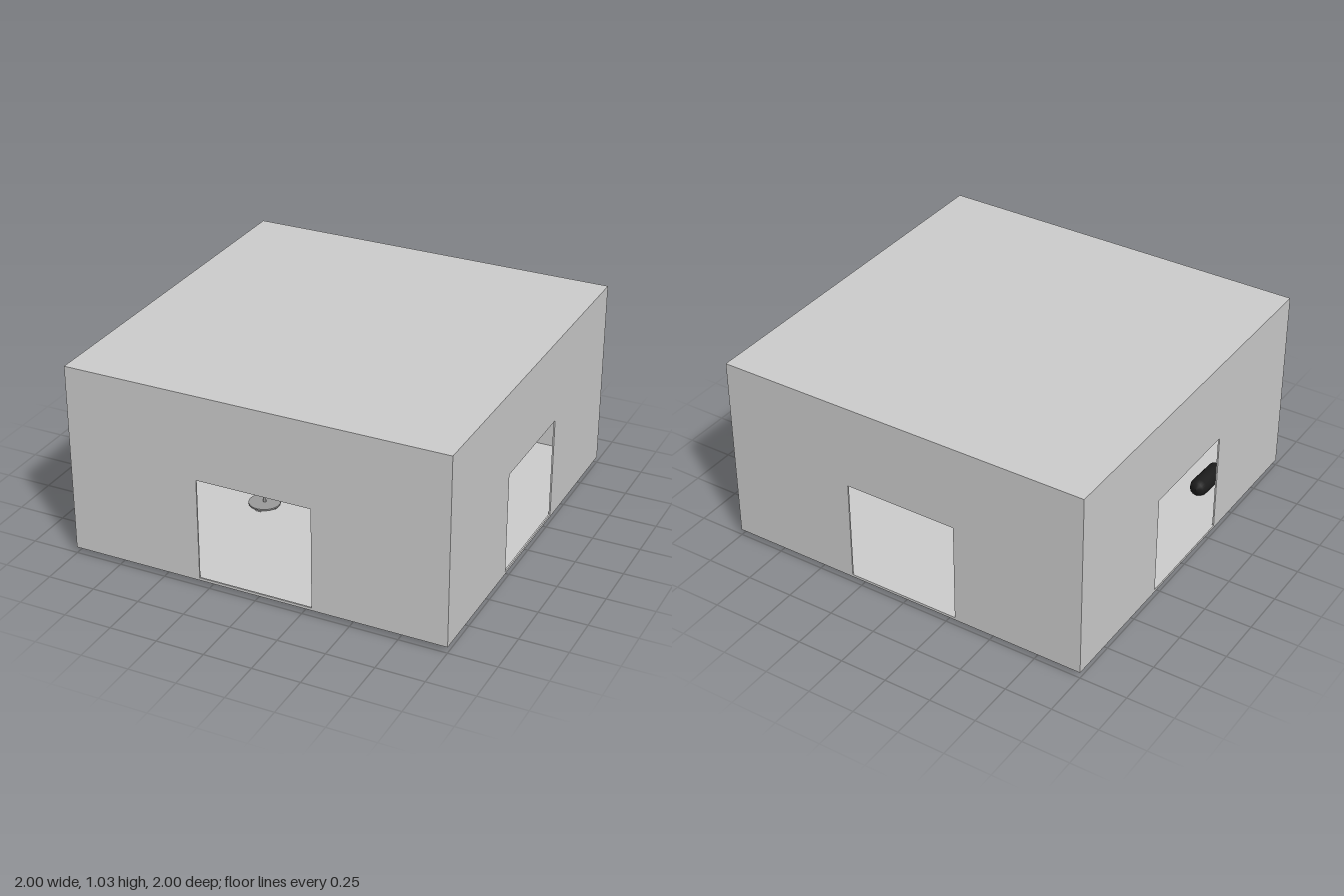
import * as THREE from 'three';

const mat = (name, color) => {
  const m = new THREE.MeshStandardMaterial({ color });
  m.name = name;
  return m;
};

export function createModel() {
  const model = new THREE.Group();
  const wallGrey = mat('wall grey', 0xcccccc);
  const panelGrey = mat('panel light grey', 0xbbbbbb);
  const sideGrey = mat('panel dark grey', 0x919191);
  const metal = mat('frame metal', 0x9a9a9a);
  const black = mat('black', 0x1c1c1c);

  const add = (name, geo, material, x, y, z, parent = model) => {
    const mesh = new THREE.Mesh(geo, material);
    mesh.name = name;
    mesh.position.set(x, y, z);
    parent.add(mesh);
    return mesh;
  };
  const box = (name, w, h, d, material, x, y, z, parent) =>
    add(name, new THREE.BoxGeometry(w, h, d), material, x, y, z, parent);

  // Room shell: floor, roof and four thin walls with doorways
  const T = 0.008, BASE = 0.032, TOP = 1.032;
  box('floor', 2, 0.01, 2, wallGrey, 0, BASE + 0.005, 0);
  box('roof', 2, T, 2, wallGrey, 0, TOP - T / 2, 0);
  const wall = (name, halfWidth, angle) => {
    const shape = new THREE.Shape([[-1, BASE + 0.01], [1, BASE + 0.01], [1, TOP - T], [-1, TOP - T]]
      .map(([x, y]) => new THREE.Vector2(x * halfWidth, y)));
    shape.holes.push(new THREE.Path([[-0.302, 0.046], [-0.302, 0.585], [0.302, 0.585], [0.302, 0.046]]
      .map(([x, y]) => new THREE.Vector2(x, y))));
    const geo = new THREE.ExtrudeGeometry(shape, { depth: T, bevelEnabled: false });
    geo.translate(0, 0, 1 - T);
    add(name, geo, wallGrey, 0, 0, 0).rotation.y = angle;
  };
  wall('frontWall', 1, 0);
  wall('backWall', 1, Math.PI);
  wall('leftWall', 1 - T, Math.PI / 2);
  wall('rightWall', 1 - T, -Math.PI / 2);

  // Table with four posts on round bases
  const table = new THREE.Group();
  table.name = 'table';
  table.position.set(-0.104, 0, 0);
  model.add(table);
  box('tableTop', 0.54, 0.008, 0.54, metal, 0, 0.294, 0, table);
  box('tableRail', 0.49, 0.012, 0.49, panelGrey, 0, 0.283, 0, table);
  for (const sx of [-1, 1]) for (const sz of [-1, 1]) {
    const x = sx * 0.245, z = sz * 0.245;
    add('post', new THREE.CylinderGeometry(0.008, 0.008, 0.48, 12), metal, x, 0.29, z, table);
    add('postBase', new THREE.CylinderGeometry(0.083, 0.083, 0.008, 24), metal, x, 0.06, z, table);
    for (const a of [0, 1, 2, 3]) {
      const r = a * Math.PI / 2;
      box('basePad', 0.03, 0.014, 0.03, metal,
        x + Math.cos(r) * 0.055, 0.049, z + Math.sin(r) * 0.055, table);
    }
    add('postKnob', new THREE.SphereGeometry(0.013, 12, 8), black, x, 0.52, z, table);
    add('postKnob', new THREE.SphereGeometry(0.008, 10, 6), black, x + sx * 0.008, 0.5, z + sz * 0.008, table);
    box('cornerBracket', 0.022, 0.028, 0.022, black, sx * 0.226, 0.314, sz * 0.226, table);
  }

  // Square cabinet on the table, with edge strips and small knobs
  const S = 0.46, cabH = 0.46, cabY = 0.302 + cabH / 2;
  add('cabinet', new THREE.BoxGeometry(S, cabH, S),
    [sideGrey, sideGrey, panelGrey, panelGrey, panelGrey, panelGrey], 0, cabY, 0, table);
  for (const sx of [-1, 1]) for (const sz of [-1, 1])
    box('edgeStrip', 0.014, cabH, 0.014, sideGrey, sx * 0.227, cabY, sz * 0.227, table);
  for (const [along, y] of [[0.1, 0.555], [0.126, 0.53]]) {
    const knob = () => new THREE.CylinderGeometry(0.012, 0.012, 0.01, 14);
    add('frontKnob', knob(), y > 0.54 ? black : panelGrey, along, y, S / 2 + 0.004, table).rotation.x = Math.PI / 2;
    add('sideKnob', knob(), black, S / 2 + 0.004, y, -along - 0.02, table).rotation.z = Math.PI / 2;
  }

  // Black canisters: two upright through the floor, one lying down
  const profile = [[0, 0], [0.038, 0], [0.048, 0.008], [0.048, 0.2], [0.038, 0.225], [0, 0.235]]
    .map(([r, y]) => new THREE.Vector2(r, y));
  const canister = (x, y, z) => add('canister', new THREE.LatheGeometry(profile, 24), black, x, y, z);
  canister(0.9, 0, -0.8);
  canister(-0.8, 0, -0.8);
  canister(-0.8, 0.064, 0.71).rotation.x = -Math.PI / 2 + 0.07;

  return model;
}
